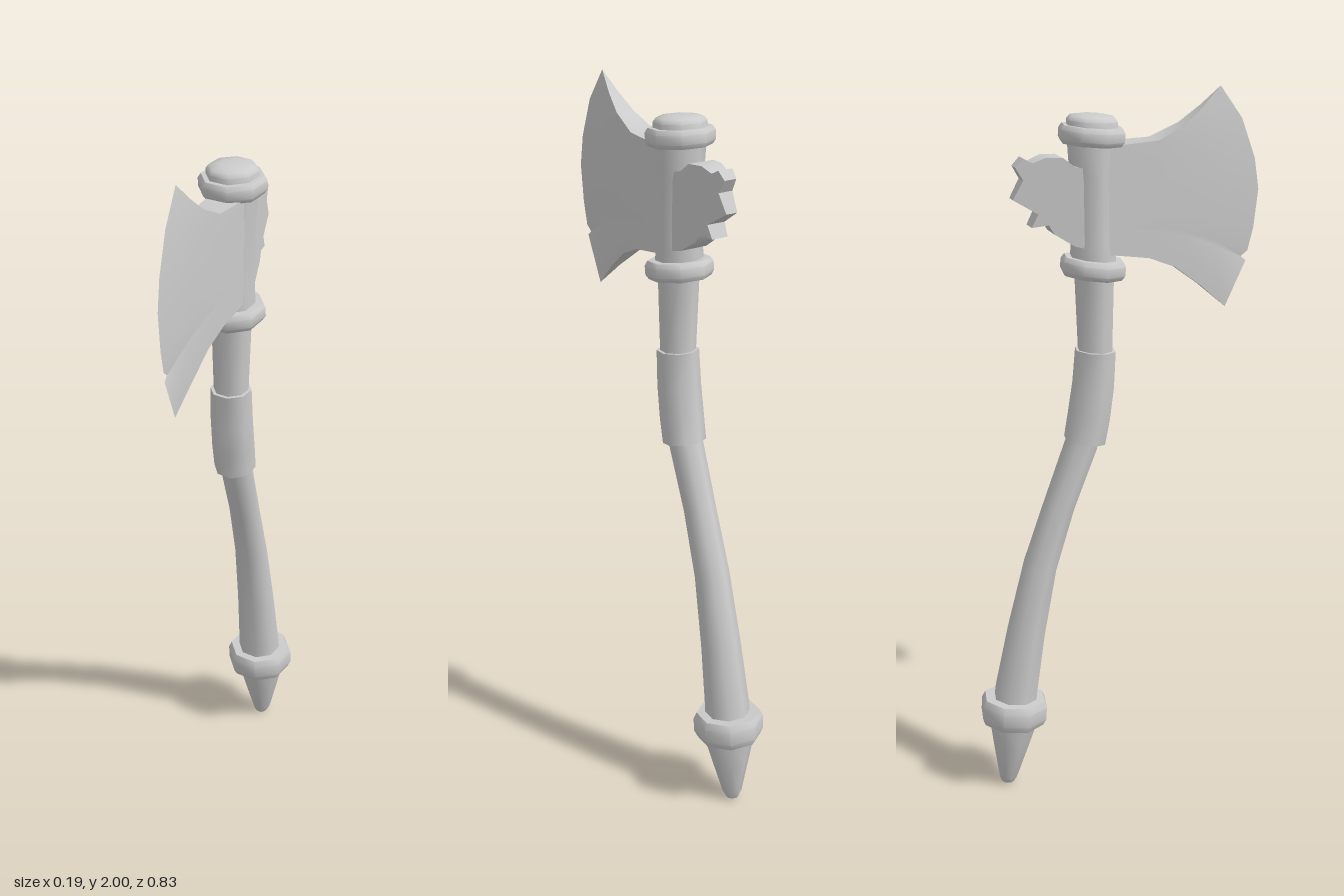
import * as THREE from 'three';
import { toCreasedNormals } from 'three/addons/utils/BufferGeometryUtils.js';

const SIDES = 8;
const TURN = 0.2; // rotation of the eight-sided sections

export function createModel() {
  const model = new THREE.Group();
  const material = new THREE.MeshStandardMaterial({ color: 0xcccccc });

  function add(name, geometry, crease = 0.85) {
    const mesh = new THREE.Mesh(toCreasedNormals(geometry, crease), material);
    mesh.name = name;
    model.add(mesh);
    return mesh;
  }

  // Turned part: profile [radius, height] placed at (z, y) and leaned forward
  function turned(name, profile, z, y, lean) {
    const points = profile.map(([r, h]) => new THREE.Vector2(r, h));
    const mesh = add(name, new THREE.LatheGeometry(points, SIDES, TURN));
    mesh.position.set(0, y, z);
    mesh.rotation.x = lean;
  }

  // Bent shaft through sections [z, y, radius], listed from bottom to top
  function shaft(name, sections) {
    const n = sections.length - 1;
    const geometry = new THREE.CylinderGeometry(1, 1, n, SIDES, n, false, TURN);
    const pos = geometry.attributes.position;
    for (let i = 0; i < pos.count; i++) {
      const k = Math.round(pos.getY(i) + n / 2);
      const [z, y, r] = sections[k];
      const before = sections[Math.max(k - 1, 0)];
      const after = sections[Math.min(k + 1, n)];
      const lean = Math.atan2(after[0] - before[0], after[1] - before[1]);
      const px = pos.getX(i) * r, pz = pos.getZ(i) * r;
      pos.setXYZ(i, px, y - pz * Math.sin(lean), z + pz * Math.cos(lean));
    }
    add(name, geometry);
  }

  // Handle and grip sleeve
  shaft('handle', [
    [-0.312, 0.22, 0.065], [-0.303, 0.3, 0.063], [-0.27, 0.48, 0.056],
    [-0.225, 0.68, 0.049], [-0.165, 0.86, 0.045], [-0.1, 1.03, 0.047],
    [-0.07, 1.16, 0.048], [-0.058, 1.3, 0.049], [-0.06, 1.55, 0.057],
  ]);
  shaft('gripSleeve', [
    [-0.09, 1.04, 0.06], [-0.077, 1.11, 0.061], [-0.064, 1.2, 0.06], [-0.057, 1.3, 0.058],
  ]);

  // Pommel point, socket and domed cap
  turned('pommelPoint', [[0, 0], [0.018, 0.003], [0.027, 0.02], [0.055, 0.13], [0.074, 0.21]],
    -0.336, 0.002, 0.1);
  turned('headSocket', [[0.066, 0], [0.062, 0.09], [0.062, 0.26], [0.068, 0.36]], -0.062, 1.52, -0.01);
  turned('topCap', [[0.072, 0], [0.071, 0.045], [0.062, 0.056], [0.035, 0.061], [0, 0.063]],
    -0.066, 1.88, 0.06);

  // Collars: name, radius, half height, z, y, lean
  for (const [name, r, h, z, y, lean] of [
    ['pommelRing', 0.099, 0.038, -0.311, 0.24, 0.07],
    ['lowerSocketRing', 0.092, 0.025, -0.063, 1.532, 0.12],
    ['upperSocketRing', 0.092, 0.024, -0.065, 1.887, 0.08],
  ]) {
    turned(name, [[0.05, -h], [r * 0.91, -h], [r, -h * 0.5], [r, h * 0.5], [r * 0.91, h], [0.05, h]],
      z, y, lean);
  }

  add('blade', bladeGeometry(), 0.5);
  add('backSpike', spikeGeometry(), 0.5);
  return model;
}

// Flared blade: a patch between its top, bottom and cutting edges, thinning outward
function bladeGeometry() {
  const top = [[-0.05, 1.86], [0.11, 1.868], [0.19, 1.905], [0.245, 1.948], [0.3, 2]];
  const bottom = [[-0.05, 1.575], [0.085, 1.553], [0.165, 1.52], [0.245, 1.46], [0.325, 1.39]];
  const half = [0.05, 0.037, 0.027, 0.015, 0];
  const edge = [
    [0.3, 2], [0.365, 1.91], [0.405, 1.8], [0.418, 1.715], [0.406, 1.61],
    [0.39, 1.545], [0.37, 1.53], [0.385, 1.517], [0.325, 1.39],
  ];
  const cols = top.length, rows = edge.length;
  const positions = [], index = [];
  for (const side of [-1, 1]) {
    for (const [edgeZ, edgeY] of edge) {
      const v = (2 - edgeY) / 0.61;
      const bulge = edgeZ - THREE.MathUtils.lerp(0.3, 0.325, v);
      for (let j = 0; j < cols; j++) {
        const u = j / (cols - 1);
        positions.push(side * half[j],
          THREE.MathUtils.lerp(top[j][1], bottom[j][1], v),
          THREE.MathUtils.lerp(top[j][0], bottom[j][0], v) + bulge * u * u);
      }
    }
  }
  const at = (s, i, j) => (s * rows + i) * cols + j;
  const quad = (a, b, c, d) => index.push(a, b, c, a, c, d);
  for (let j = 0; j < cols - 1; j++) {
    for (let i = 0; i < rows - 1; i++) {
      quad(at(1, i, j), at(1, i, j + 1), at(1, i + 1, j + 1), at(1, i + 1, j));
      quad(at(0, i, j), at(0, i + 1, j), at(0, i + 1, j + 1), at(0, i, j + 1));
    }
    const last = rows - 1;
    quad(at(0, 0, j), at(0, 0, j + 1), at(1, 0, j + 1), at(1, 0, j));
    quad(at(0, last, j), at(1, last, j), at(1, last, j + 1), at(0, last, j + 1));
  }
  const geometry = new THREE.BufferGeometry();
  geometry.setAttribute('position', new THREE.Float32BufferAttribute(positions, 3));
  geometry.setIndex(index);
  return geometry;
}

// Broken spike behind the socket: a jagged plate that tapers toward the back
function spikeGeometry() {
  const outline = [
    [-0.08, 1.8], [-0.125, 1.812], [-0.155, 1.836], [-0.2, 1.838], [-0.235, 1.825], [-0.258, 1.837],
    [-0.28, 1.815], [-0.26, 1.78], [-0.288, 1.73], [-0.222, 1.69], [-0.24, 1.655],
    [-0.195, 1.66], [-0.18, 1.635], [-0.125, 1.6], [-0.08, 1.59],
  ];
  const shape = new THREE.Shape(outline.map(([z, y]) => new THREE.Vector2(z, y)));
  const geometry = new THREE.ExtrudeGeometry(shape, { depth: 1, bevelEnabled: false });
  const pos = geometry.attributes.position;
  for (let i = 0; i < pos.count; i++) {
    const z = pos.getX(i);
    const half = THREE.MathUtils.mapLinear(z, -0.29, -0.08, 0.017, 0.05);
    pos.setXYZ(i, (0.5 - pos.getZ(i)) * 2 * half, pos.getY(i), z);
  }
  return geometry;
}
